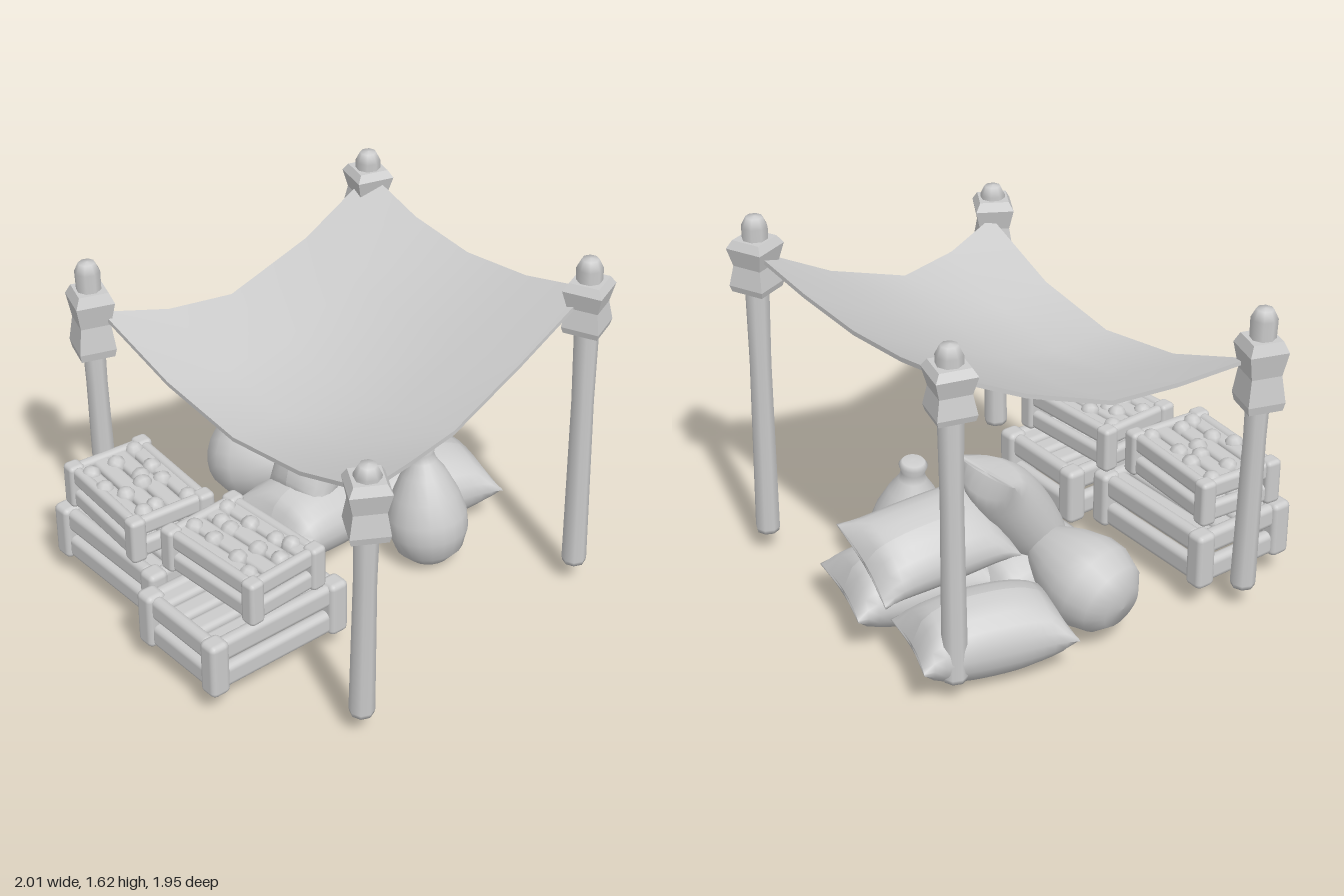
import * as THREE from 'three';
import { RoundedBoxGeometry } from 'three/addons/geometries/RoundedBoxGeometry.js';

const smooth = new THREE.MeshStandardMaterial({ color: 0xcccccc });
const faceted = new THREE.MeshStandardMaterial({ color: 0xcccccc, flatShading: true });
const UP = new THREE.Vector3(0, 1, 0);

function add(parent, name, geometry, x = 0, y = 0, z = 0, material = smooth) {
  const mesh = new THREE.Mesh(geometry, material);
  mesh.name = name;
  mesh.position.set(x, y, z);
  parent.add(mesh);
  return mesh;
}

const lathe = (points, sides) =>
  new THREE.LatheGeometry(points.map(([r, y]) => new THREE.Vector2(r, y)), sides);

// Leaning pole with a chamfered tip and a square cloth wrap
function makePost(name, base, top, wrapY, wrapH, turn) {
  const post = new THREE.Group();
  post.name = name;
  const a = new THREE.Vector3(...base), b = new THREE.Vector3(...top);
  const dir = b.clone().sub(a), len = dir.length();
  const pole = add(post, 'pole', lathe(
    [[0, 0], [0.05, 0], [0.054, 0.02], [0.047, len * 0.55], [0.056, len - 0.045], [0.036, len - 0.005], [0, len]], 8), ...base);
  pole.quaternion.setFromUnitVectors(UP, dir.normalize());
  const profile = [[0, 0], [0.105, 0], [0.115, 0.12], [0.094, 0.5], [0.12, 0.85], [0.092, 1], [0, 1]];
  const shape = lathe(profile.map(([r, y]) => [r, y * wrapH]), 4).rotateY(Math.PI / 4 + turn);
  const at = a.clone().lerp(b, (wrapY + wrapH / 2 - a.y) / (b.y - a.y));
  add(post, 'wrap', shape, at.x, wrapY, at.z, faceted);
  return post;
}

// Sagging cloth: each row runs from one side to the other
function makeCanopy() {
  // z, half width, height in the middle, height at the edge
  const rows = [
    [-0.785, 0.68, 1.345, 1.45], [-0.43, 0.68, 1.16, 1.25], [-0.05, 0.71, 0.99, 1.1],
    [0.23, 0.77, 0.935, 1.11], [0.505, 0.86, 0.95, 1.165],
  ];
  const geo = new THREE.BoxGeometry(2, 0.02, 2, 4, 1, 4);
  const p = geo.attributes.position;
  for (let i = 0; i < p.count; i++) {
    const u = p.getX(i);
    const [z, half, mid, edge] = rows[Math.round((p.getZ(i) + 1) * 2)];
    const sag = Math.pow(Math.abs(u), 1.8);
    p.setXYZ(i, u * half, mid + (edge - mid) * sag + p.getY(i), z * (1 + 0.05 * u * u));
  }
  geo.computeVertexNormals();
  return geo;
}

// Open crate with corner posts, two rails per side and a slatted top; long axis is x
function makeCrate(name, x, y, z, turn, scale = 1) {
  const crate = new THREE.Group();
  crate.name = name;
  const L = 0.72, W = 0.52, H = 0.26, P = 0.095;
  for (const sx of [-1, 1]) for (const sz of [-1, 1])
    add(crate, 'cornerPost', new RoundedBoxGeometry(P, H, P, 2, 0.026), sx * (L - P) / 2, H / 2, sz * (W - P) / 2);
  for (const h of [0.063, 0.2]) for (const s of [-1, 1]) {
    add(crate, 'longRail', new RoundedBoxGeometry(L - 1.5 * P, 0.108, 0.06, 2, 0.028), 0, h, s * (W - P) / 2);
    add(crate, 'shortRail', new RoundedBoxGeometry(0.06, 0.108, W - 1.5 * P, 2, 0.028), s * (L - P) / 2, h, 0);
  }
  for (let i = 0; i < 4; i++)
    add(crate, 'slat', new RoundedBoxGeometry(L - P, 0.055, 0.1, 2, 0.026), 0, 0.212, (i - 1.5) * 0.112);
  crate.position.set(x, y, z);
  crate.rotation.y = turn;
  crate.scale.setScalar(scale);
  return crate;
}

// Round produce scattered over a crate top
function addProduce(crate, seed) {
  const rand = () => (seed = (seed * 16807) % 2147483647) / 2147483647;
  for (let i = 0; i < 12; i++) {
    const x = ((i % 4) - 1.5) * 0.15 + (rand() - 0.5) * 0.1;
    const z = (Math.floor(i / 4) - 1) * 0.14 + (rand() - 0.5) * 0.09;
    const ball = add(crate, 'produce', new THREE.SphereGeometry(0.055, 8, 6), x, 0.215 + rand() * 0.012, z);
    ball.rotation.set(rand() * 3, rand() * 3, 0);
  }
}

// Stuffed sack pinched to a seam with eared corners at both ends; roll turns it about its axis
function makePillow(center, axis, length, width, thickness, roll = 0) {
  const geo = new THREE.CylinderGeometry(1, 1, 2, 20, 14);
  const p = geo.attributes.position;
  for (let i = 0; i < p.count; i++) {
    const u = p.getY(i);
    const bulge = Math.sqrt(Math.max(0, 1 - Math.abs(u) ** 2.6));
    const w = (width / 2) * (0.84 + 0.08 * bulge + 0.16 * u ** 6);
    const y = u * (length / 2) * (1 + 0.06 * u * u * (p.getX(i) ** 2 - 0.5));
    p.setXYZ(i, p.getX(i) * w, y, p.getZ(i) * (0.012 + (thickness / 2) * bulge));
  }
  geo.rotateY(roll);
  geo.computeVertexNormals();
  const Y = new THREE.Vector3(...axis).normalize();
  const X = Y.clone().cross(UP).normalize();
  const Z = X.clone().cross(Y);
  geo.applyMatrix4(new THREE.Matrix4().makeBasis(X, Y, Z).setPosition(...center));
  return geo;
}

export function createModel() {
  const model = new THREE.Group();
  model.name = 'marketStall';

  model.add(
    makePost('frontRightPost', [-0.885, 0.1, 0.545], [-0.905, 1.41, 0.56], 0.97, 0.31, -0.32),
    makePost('frontLeftPost', [0.865, 0.1, 0.555], [0.89, 1.32, 0.56], 1.0, 0.26, -0.53),
    makePost('backRightPost', [-0.69, 0.1, -0.815], [-0.665, 1.58, -0.8], 1.28, 0.22, -0.27),
    makePost('backLeftPost', [0.705, 0.1, -0.82], [0.685, 1.61, -0.805], 1.28, 0.23, 0.4),
  );
  add(model, 'canopy', makeCanopy());

  // Two large crates with two smaller ones on top
  const upperRight = makeCrate('upperRightCrate', -0.49, 0.36, 0.645, -0.08, 0.8);
  const upperLeft = makeCrate('upperLeftCrate', 0.13, 0.36, 0.57, 0.06, 0.8);
  addProduce(upperRight, 11);
  addProduce(upperLeft, 57);
  model.add(
    makeCrate('lowerRightCrate', -0.46, 0.1, 0.615, 0),
    makeCrate('lowerLeftCrate', 0.175, 0.1, 0.61, Math.PI / 2),
    upperRight, upperLeft,
  );

  // Heap of flat sacks: centre, axis, length, width, thickness, roll
  const sacks = [
    [[-0.27, 0.17, -0.15], [0.02, 0, 1], 0.56, 0.52, 0.33],
    [[-0.1, 0.19, -0.6], [-0.25, 0, 1], 0.64, 0.48, 0.34],
    [[-0.6, 0.19, -0.6], [-0.29, 0, 1], 0.64, 0.42, 0.34],
    [[-0.25, 0.45, -0.62], [-0.12, 0.08, 1], 0.61, 0.44, 0.25, 0.45],
    [[-0.31, 0.47, -0.22], [-0.04, 0.8, -0.52], 0.6, 0.36, 0.27],
  ];
  for (const s of sacks) add(model, 'sack', makePillow(...s));

  // Round tied sacks, one standing and one lying
  const tied = lathe([[0, 0.005], [0.09, 0.015], [0.15, 0.07], [0.18, 0.16], [0.178, 0.24], [0.148, 0.34],
    [0.1, 0.44], [0.06, 0.5], [0.05, 0.535], [0.062, 0.57], [0.048, 0.588], [0, 0.585]], 20);
  const standing = add(model, 'standingTiedSack', tied, 0.19, 0.005, -0.44);
  standing.rotation.z = 0.13;
  const lying = add(model, 'lyingTiedSack', tied, -0.85, 0.21, -0.08);
  lying.quaternion.setFromUnitVectors(UP, new THREE.Vector3(0.93, 0.25, -0.15).normalize());
  lying.scale.set(1.1, 1, 1.1);

  return model;
}
